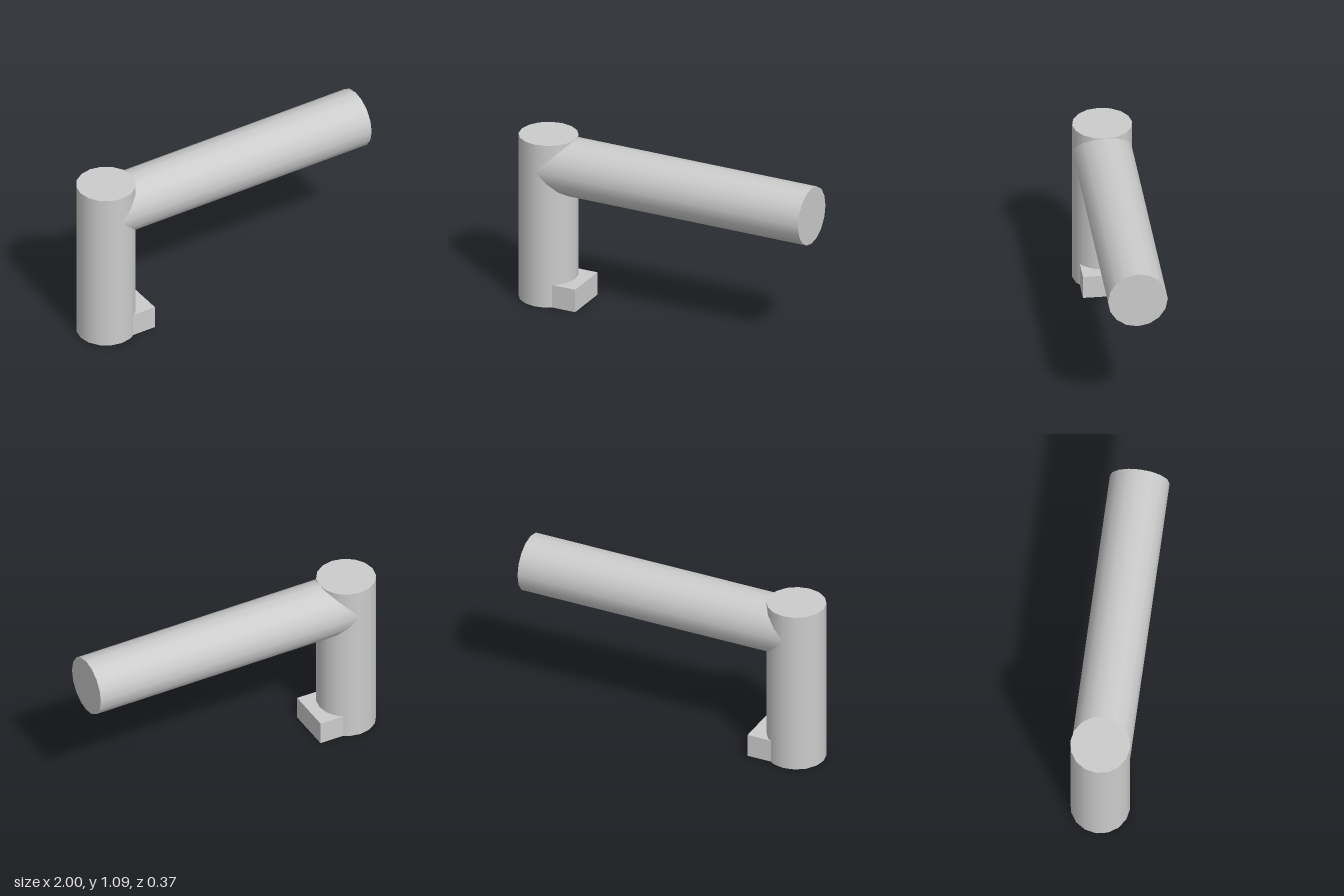
import * as THREE from 'three';

const RADIUS = 0.185;
const SIDES = 16;
const POST_X = -1 + RADIUS;
const POST_HEIGHT = 1.085;

export function createModel() {
  const group = new THREE.Group();
  const grey = new THREE.MeshStandardMaterial({ color: 0xcccccc });
  grey.name = 'light grey';

  const add = (name, geometry, x, y) => {
    const mesh = new THREE.Mesh(geometry, grey);
    mesh.name = name;
    mesh.position.set(x, y, 0);
    group.add(mesh);
    return mesh;
  };

  // Upright post
  add('post', new THREE.CylinderGeometry(RADIUS, RADIUS, POST_HEIGHT, SIDES), POST_X, POST_HEIGHT / 2);

  // Horizontal arm, starting on the post's axis and level with its top
  const armLength = 1 - POST_X;
  const arm = add('arm', new THREE.CylinderGeometry(RADIUS, RADIUS, armLength, SIDES),
    POST_X + armLength / 2, POST_HEIGHT - RADIUS);
  arm.rotation.z = -Math.PI / 2;

  // Block at the foot of the post, under the arm
  const blockEnd = -0.555;
  const blockLength = blockEnd - POST_X;
  add('footBlock', new THREE.BoxGeometry(blockLength, 0.15, 0.3), POST_X + blockLength / 2, 0.075);

  return group;
}
